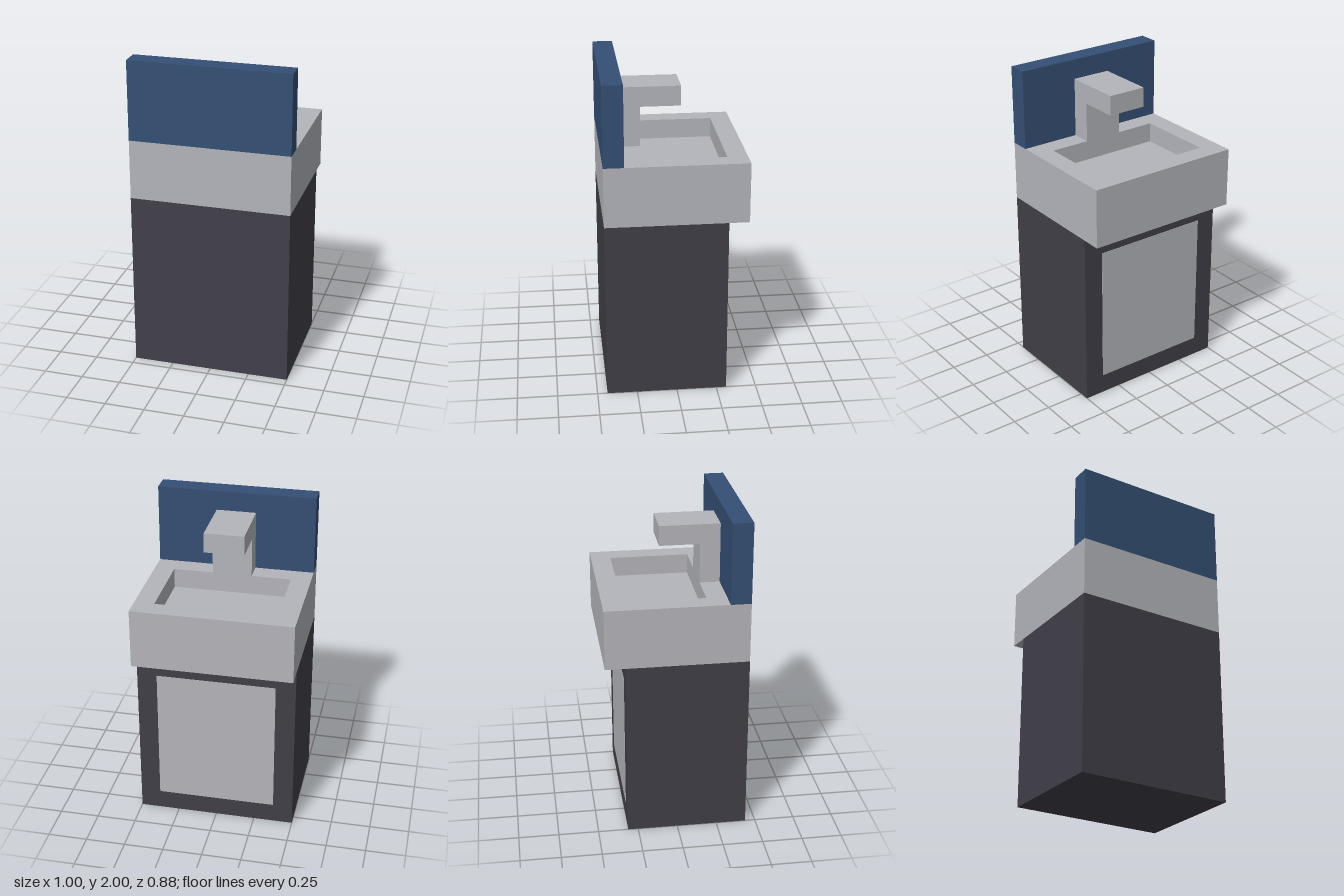
import * as THREE from 'three';

const U = 1 / 16; // design grid unit

export function createModel() {
  const group = new THREE.Group();
  group.name = 'washbasin';

  const mat = (name, color) => {
    const m = new THREE.MeshStandardMaterial({ color });
    m.name = name;
    return m;
  };
  const lightGrey = mat('light grey', 0xb4b5bb);
  const darkGrey = mat('dark grey', 0x413f48);
  const navy = mat('navy blue', 0x354f74);

  const add = (name, geometry, material) => {
    const mesh = new THREE.Mesh(geometry, material);
    mesh.name = name;
    group.add(mesh);
    return mesh;
  };

  // Box given by its min and max corners in grid units
  const box = (name, a, b, material) => {
    const g = new THREE.BoxGeometry(...a.map((v, i) => (b[i] - v) * U));
    g.translate(...a.map((v, i) => ((v + b[i]) / 2) * U));
    return add(name, g, material);
  };
  const points = (list) => list.map(([x, y]) => new THREE.Vector2(x * U, y * U));

  // Cabinet, with an inset-looking panel painted on its -z side
  box('cabinet', [-8, 0, -5], [8, 18, 7], darkGrey);
  box('cabinetPanel', [-6, 2, -5.03], [6, 16, -5], lightGrey);

  // Basin: solid slab below, rim with a rectangular opening above
  box('basinSlab', [-8, 18, -7], [8, 22, 7], lightGrey);
  const rim = new THREE.Shape(points([[-8, -7], [8, -7], [8, 7], [-8, 7]]));
  rim.holes.push(new THREE.Path(points([[-6, -3], [-6, 5], [6, 5], [6, -3]])));
  const rimGeometry = new THREE.ExtrudeGeometry(rim, { depth: 2 * U, bevelEnabled: false });
  rimGeometry.rotateX(-Math.PI / 2).translate(0, 22 * U, 0);
  add('basinRim', rimGeometry, lightGrey);

  // Backsplash along the +z edge
  box('backsplash', [-8, 24, 5], [8, 32, 7], navy);

  // Tap: L-shaped side profile extruded across x
  const tap = new THREE.Shape(points([[3, 24], [5, 24], [5, 30], [-1, 30], [-1, 28], [3, 28]]));
  const tapGeometry = new THREE.ExtrudeGeometry(tap, { depth: 4 * U, bevelEnabled: false });
  tapGeometry.rotateY(-Math.PI / 2).translate(2 * U, 0, 0);
  add('tap', tapGeometry, lightGrey);

  return group;
}
